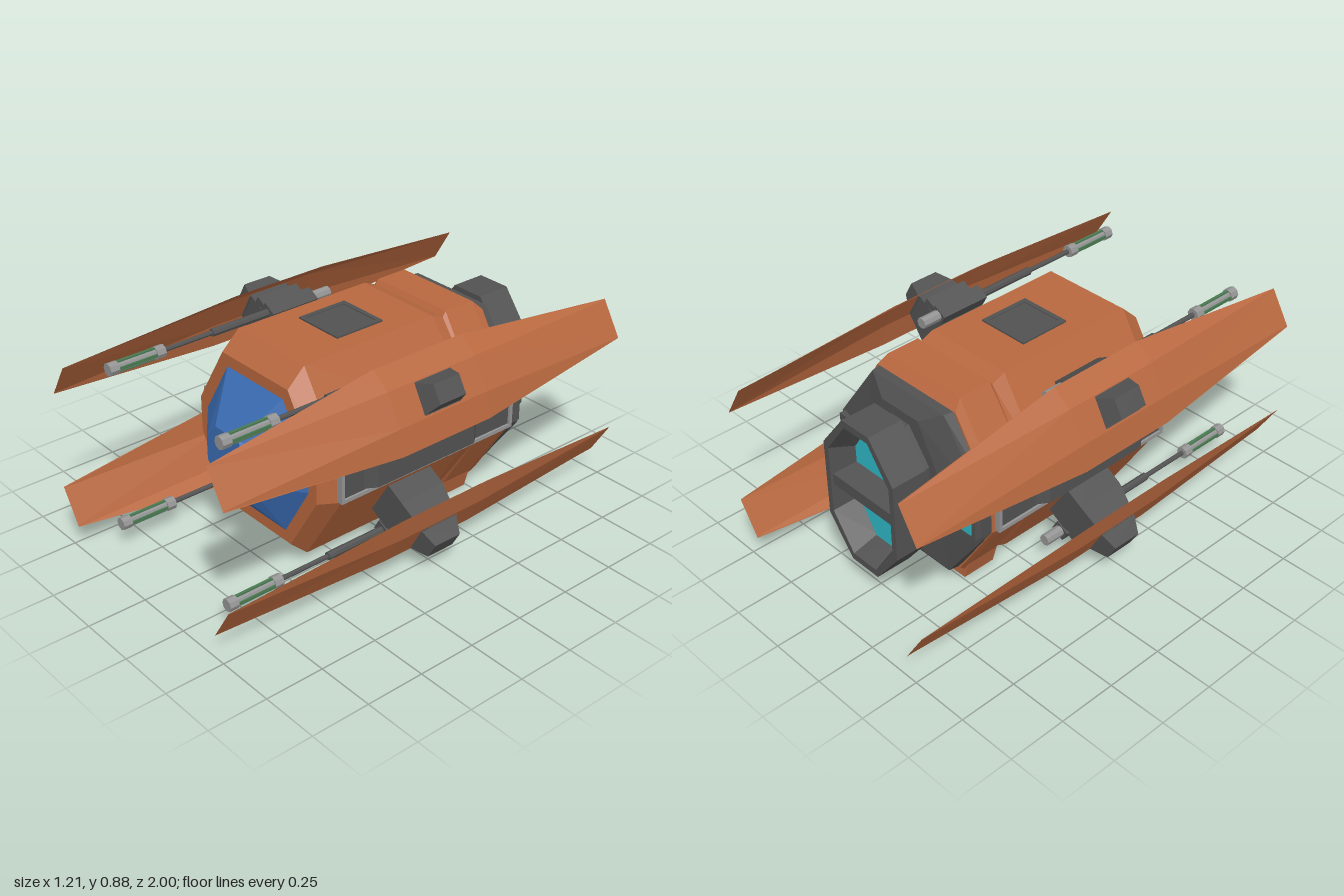
import * as THREE from 'three';

const mat = (color) => new THREE.MeshStandardMaterial({ color, flatShading: true, side: THREE.DoubleSide });
const ORANGE = mat(0xb8683f), BLUE = mat(0x3a6cb4), DARK = mat(0x525252),
  GREY = mat(0x949494), TEAL = mat(0x30b8c6), GREEN = mat(0x4a7a52);

function add(parent, name, geometry, material, x = 0, y = 0, z = 0) {
  const mesh = new THREE.Mesh(geometry, material);
  mesh.name = name;
  mesh.position.set(x, y, z);
  parent.add(mesh);
  return mesh;
}

const box = (w, h, d) => new THREE.BoxGeometry(w, h, d);

// Joins cross-sections listed from front (+z) to back; points run anticlockwise.
function loft(rings, { closed = true, front = true, back = true } = {}) {
  const pos = [], n = rings[0].length;
  const tri = (...pts) => pts.forEach((p) => pos.push(...p));
  for (let i = 0; i < rings.length - 1; i++) {
    const a = rings[i], b = rings[i + 1];
    for (let k = 0; k < (closed ? n : n - 1); k++) {
      const m = (k + 1) % n;
      tri(a[k], b[k], a[m]);
      tri(a[m], b[k], b[m]);
    }
  }
  const f = rings[0], e = rings[rings.length - 1];
  for (let k = 1; k < n - 1; k++) {
    if (closed && front) tri(f[0], f[k], f[k + 1]);
    if (closed && back) tri(e[0], e[k + 1], e[k]);
  }
  const g = new THREE.BufferGeometry();
  g.setAttribute('position', new THREE.Float32BufferAttribute(pos, 3));
  g.computeVertexNormals();
  return g;
}

// Eight-sided section: a = half top width, b = half width, c = half side height, d = half height.
const oct = (z, a, b, c, d) => [[b, -c, z], [b, c, z], [a, d, z], [-a, d, z],
  [-b, c, z], [-b, -c, z], [-a, -d, z], [a, -d, z]];
const rect = (z, w, h) => [[w / 2, -h / 2, z], [w / 2, h / 2, z], [-w / 2, h / 2, z], [-w / 2, -h / 2, z]];

// Four-sided block tapering outward along +x.
const taper = (w1, h1, w2, h2, length) =>
  loft([rect(length, w2, h2), rect(0, w1, h1)]).rotateY(Math.PI / 2);

function buildHull(ship) {
  add(ship, 'hull', loft([
    oct(0.45, 0.2, 0.36, 0.08, 0.34), oct(0.37, 0.2, 0.41, 0.08, 0.415),
    oct(-0.27, 0.2, 0.41, 0.08, 0.415), oct(-0.33, 0.2, 0.41, 0.08, 0.39),
    oct(-0.345, 0.2, 0.41, 0.08, 0.41), oct(-0.49, 0.2, 0.41, 0.08, 0.41),
    oct(-0.53, 0.22, 0.405, 0.08, 0.37)]), ORANGE);
  add(ship, 'canopy', loft([
    oct(0.59, 0.07, 0.13, 0.05, 0.12), oct(0.45, 0.17, 0.315, 0.05, 0.29)]), BLUE);

  // Keel block under the rear
  const keel = new THREE.Shape([[-0.2, -0.455], [0.2, -0.455], [0.23, -0.35], [-0.23, -0.35]]
    .map((p) => new THREE.Vector2(...p)));
  add(ship, 'keel', new THREE.ExtrudeGeometry(keel, { depth: 0.15, bevelEnabled: false }), ORANGE, 0, 0, -0.49);

  // Roof hatch
  add(ship, 'hatchPanel', box(0.19, 0.01, 0.19), DARK, 0, 0.413, 0.025);
  for (const s of [-1, 1]) {
    add(ship, 'hatchFrame', box(0.02, 0.014, 0.23), DARK, s * 0.105, 0.415, 0.025);
    add(ship, 'hatchFrame', box(0.19, 0.014, 0.02), DARK, 0, 0.415, 0.025 + s * 0.105);
  }
}

function buildEngine(ship) {
  add(ship, 'rearPlate', loft([
    oct(-0.52, 0.21, 0.4, 0.08, 0.37), oct(-0.57, 0.2, 0.41, 0.08, 0.37),
    oct(-0.61, 0.1, 0.2, 0.12, 0.31)]), DARK);
  add(ship, 'engineNeck', loft([
    oct(-0.6, 0.05, 0.155, 0.13, 0.27), oct(-0.67, 0.05, 0.155, 0.13, 0.27)]), DARK);
  add(ship, 'nozzle', loft([
    oct(-0.665, 0.075, 0.2, 0.17, 0.33), oct(-0.82, 0.075, 0.2, 0.17, 0.33),
    oct(-0.82, 0.066, 0.175, 0.15, 0.3), oct(-0.71, 0.055, 0.145, 0.12, 0.26)], { back: false }), DARK);
  add(ship, 'nozzleGlow', loft([
    oct(-0.7, 0.06, 0.15, 0.125, 0.265), oct(-0.715, 0.06, 0.15, 0.125, 0.265)]), TEAL);
  add(ship, 'nozzleBar', loft([rect(-0.7, 0.33, 0.1), rect(-0.81, 0.36, 0.05)]), DARK);

  // Small vents either side of the nozzle
  for (const s of [-1, 1]) {
    add(ship, 'ventFrame', box(0.18, 0.18, 0.06), DARK, s * 0.3, 0, -0.57);
    add(ship, 'ventGlow', box(0.14, 0.14, 0.01), TEAL, s * 0.3, 0, -0.6);
  }
}

function buildSidePod() {
  const pod = new THREE.Group();
  pod.name = 'sidePod';
  add(pod, 'podBack', box(0.02, 0.13, 0.88), DARK, 0.41, 0, -0.065);
  for (const s of [-1, 1]) {
    add(pod, 'podRail', box(0.03, 0.015, 0.9), GREY, 0.415, s * 0.067, -0.065);
    add(pod, 'podEnd', box(0.03, 0.145, 0.015), GREY, 0.415, 0, -0.065 + s * 0.4425);
  }
  add(pod, 'podCover', taper(0.6, 0.11, 0.5, 0.1, 0.04), DARK, 0.415, 0, -0.025);
  return pod;
}

function buildGun() {
  const gun = new THREE.Group();
  gun.name = 'gun';
  const rod = (name, r, z0, z1, m, sides = 8) => add(gun, name,
    new THREE.CylinderGeometry(r, r, z1 - z0, sides).rotateX(Math.PI / 2), m, 0, 0, (z0 + z1) / 2);
  rod('gunTail', 0.024, -0.2, -0.11, GREY);
  rod('gunSleeve', 0.017, 0.1, 0.39, DARK);
  rod('gunRod', 0.01, 0.38, 0.63, DARK);
  rod('gunBarrel', 0.021, 0.62, 0.87, GREY);
  rod('barrelCollar', 0.027, 0.62, 0.66, GREY);
  rod('barrelMuzzle', 0.027, 0.83, 0.87, GREY);
  for (let i = 0; i < 4; i++) {
    const a = i * Math.PI / 2;
    add(gun, 'barrelStrip', box(0.012, 0.012, 0.17), GREEN,
      0.019 * Math.cos(a), 0.019 * Math.sin(a), 0.745);
  }
  const housing = add(gun, 'gunHousing', box(0.065, 0.055, 0.23), DARK);
  housing.rotation.z = Math.PI / 6;
  const bracket = add(gun, 'gunBracket', box(0.09, 0.035, 0.2), DARK, 0.05, 0.0, 0);
  bracket.rotation.z = Math.PI / 6;
  return gun;
}

// One strut, folded wing plate and gun: upper, +x side
function buildWingArm() {
  const arm = new THREE.Group();
  arm.name = 'wingArm';
  const mid = [[0.585, 0.14], [0.56, 0.245], [0.49, 0.37], [0.41, 0.43]];
  const tip = [[0.543, 0.21], [0.541, 0.214], [0.457, 0.351], [0.455, 0.355]];
  const at = (pts, z) => pts.map(([x, y]) => [x, y, z]);
  add(arm, 'wing', loft([at(tip, 1), at(mid, 0.22), at(mid, -0.22), at(tip, -1)], { closed: false }), ORANGE);

  const strut = new THREE.Group();
  strut.name = 'strut';
  strut.position.set(0.3, 0.18, 0);
  strut.rotation.z = Math.PI / 6;
  add(strut, 'strutRoot', taper(0.22, 0.18, 0.22, 0.18, 0.18), DARK, -0.05);
  add(strut, 'strutEnd', taper(0.22, 0.18, 0.18, 0.13, 0.13), DARK, 0.13);
  add(strut, 'wingCap', taper(0.19, 0.13, 0.13, 0.08, 0.08), DARK, 0.25);
  arm.add(strut);

  const gun = buildGun();
  gun.position.set(0.35, 0.345, 0);
  arm.add(gun);
  return arm;
}

export function createModel() {
  const root = new THREE.Group();
  root.name = 'spacecraft';
  const ship = new THREE.Group();
  ship.name = 'ship';
  ship.position.y = 0.455;
  root.add(ship);
  buildHull(ship);
  buildEngine(ship);
  for (const sx of [1, -1]) {
    const pod = buildSidePod();
    pod.scale.x = sx;
    ship.add(pod);
    for (const sy of [1, -1]) {
      const arm = buildWingArm();
      arm.scale.set(sx, sy, 1);
      ship.add(arm);
    }
  }
  return root;
}
